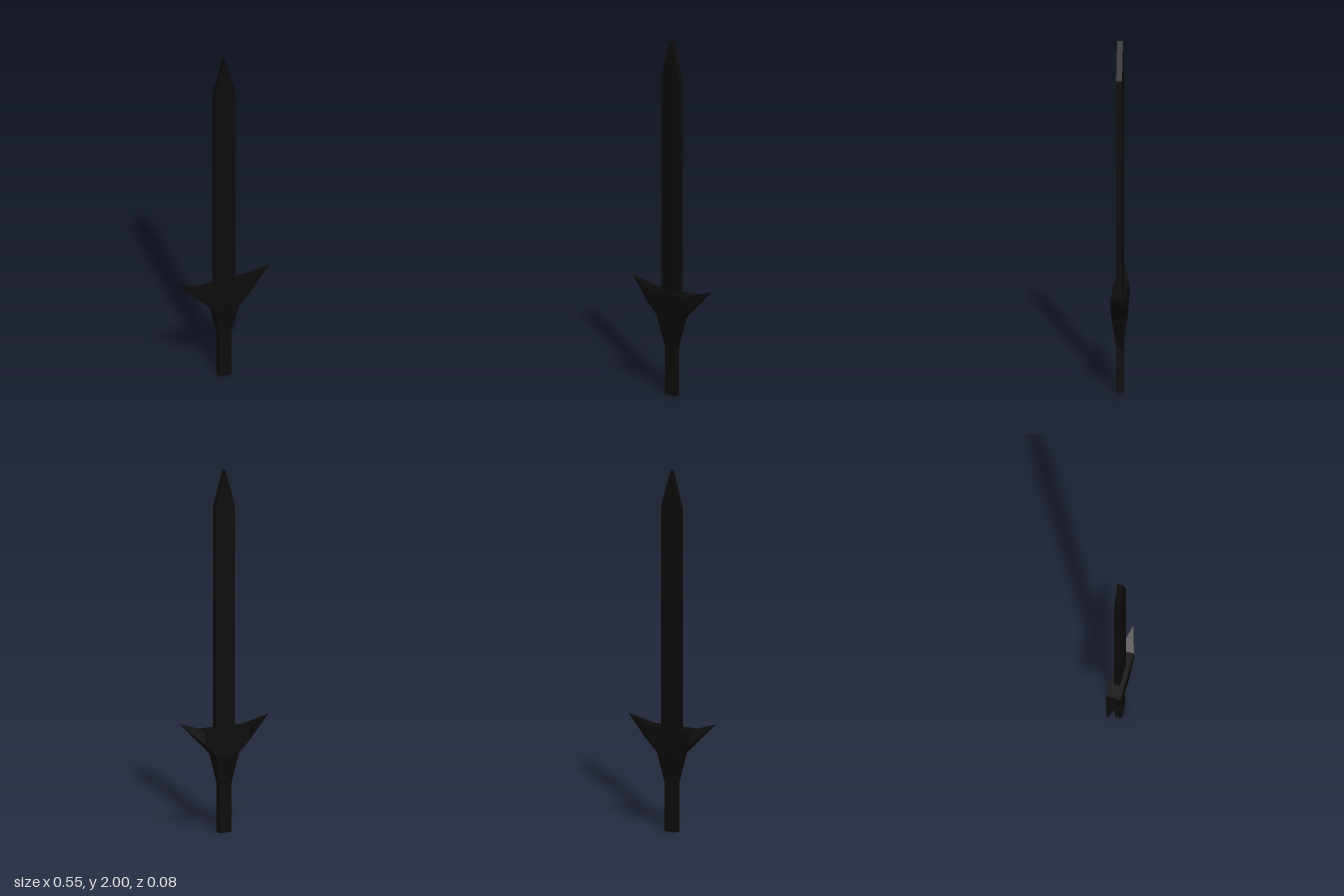
import * as THREE from 'three';

const material = new THREE.MeshStandardMaterial({ color: 0x0b0b0b, flatShading: true });

// Closed solid through four-cornered sections, each counter-clockwise seen from the far end
function loft(sections) {
  const positions = [];
  const tri = (a, b, c) => {
    if (new THREE.Triangle(a, b, c).getArea() < 1e-8) return; // collapsed at a point
    for (const p of [a, b, c]) positions.push(p.x, p.y, p.z);
  };
  const quad = (a, b, c, d) => { tri(a, b, c); tri(a, c, d); };
  for (let i = 0; i < sections.length - 1; i++) {
    const s = sections[i], t = sections[i + 1];
    for (let k = 0; k < 4; k++) {
      const n = (k + 1) % 4;
      quad(s[k], s[n], t[n], t[k]);
    }
  }
  quad(...[...sections[0]].reverse());
  quad(...sections[sections.length - 1]);
  const geometry = new THREE.BufferGeometry();
  geometry.setAttribute('position', new THREE.Float32BufferAttribute(positions, 3));
  geometry.computeVertexNormals();
  return geometry;
}

// Rectangle across the y axis
const acrossY = (y, hx, hz) =>
  [[hx, hz], [hx, -hz], [-hx, -hz], [-hx, hz]].map(([x, z]) => new THREE.Vector3(x, y, z));

// Rectangle across the x axis
const acrossX = (x, y0, y1, hz) =>
  [[y0, hz], [y0, -hz], [y1, -hz], [y1, hz]].map(([y, z]) => new THREE.Vector3(x, y, z));

export function createModel() {
  const group = new THREE.Group();
  group.name = 'sword';
  const add = (name, geometry) => {
    const mesh = new THREE.Mesh(geometry, material);
    mesh.name = name;
    group.add(mesh);
  };

  // Flat blade with a chisel-like point
  const outline = new THREE.Shape(
    [[-0.06, 0.577], [0.06, 0.577], [0.06, 1.79], [0, 2], [-0.06, 1.79]]
      .map(([x, y]) => new THREE.Vector2(x, y)));
  const blade = new THREE.ExtrudeGeometry(outline, { depth: 0.032, bevelEnabled: false });
  blade.translate(0, 0, -0.016);
  add('blade', blade);

  // Guard with wings running out to upswept points: x, bottom, top, half depth
  const wing = [[0.07, 0.435, 0.577, 0.04], [0.138, 0.503, 0.577, 0.04], [0.274, 0.625, 0.625, 0]];
  const left = wing.map(s => acrossX(...s));
  const right = wing.map(([x, ...rest]) => acrossX(-x, ...rest)).reverse();
  add('guard', loft([...right, ...left]));

  // Straight grip, then the collar flaring up into the guard
  add('grip', loft([acrossY(0, 0.035, 0.018), acrossY(0.265, 0.035, 0.018)]));
  add('collar', loft([acrossY(0.265, 0.035, 0.018), acrossY(0.435, 0.07, 0.04)]));

  return group;
}
